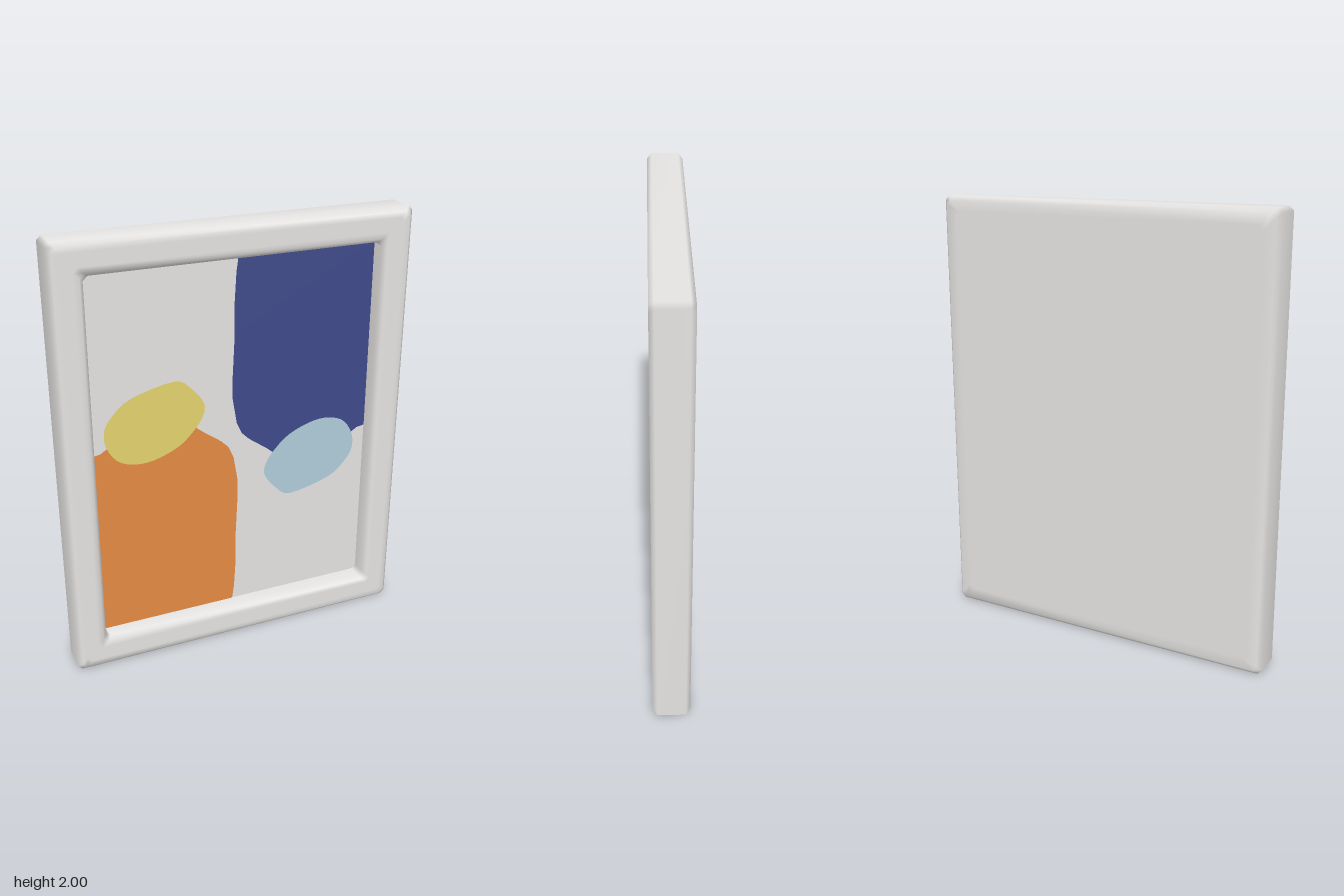
import * as THREE from 'three';

const MID_Y = 1.0; // height of the frame's centre
const PANEL_Z = 0; // depth of the recessed picture

// Corners of a rectangle with clipped corners, anticlockwise from the front
function clippedRect(w, h, c) {
  return [[w, -h + c], [w, h - c], [w - c, h], [-w + c, h],
    [-w, h - c], [-w, -h + c], [-w + c, -h], [w - c, -h]];
}

// Smooth-shaded skin through rectangular rings, closed by a cap at the back
function loftRings(rings) {
  const pos = [], index = [], n = 8;
  rings.forEach(([w, h, z]) => clippedRect(w, h, 0.02).forEach(([x, y]) => pos.push(x, y, z)));
  for (let i = 0; i < rings.length - 1; i++) {
    for (let j = 0; j < n; j++) {
      const a = i * n + j, b = i * n + (j + 1) % n;
      index.push(a, a + n, b + n, a, b + n, b);
    }
  }
  const last = (rings.length - 1) * n, centre = rings.length * n;
  pos.push(0, 0, rings[rings.length - 1][2]);
  for (let j = 0; j < n; j++) index.push(last + j, centre, last + (j + 1) % n);
  const g = new THREE.BufferGeometry();
  g.setAttribute('position', new THREE.Float32BufferAttribute(pos, 3));
  g.setIndex(index);
  g.computeVertexNormals();
  return g;
}

const toVectors = (pts) => pts.map(([x, y]) => new THREE.Vector2(x, y));

export function createModel() {
  const group = new THREE.Group();
  const material = (name, color) => {
    const m = new THREE.MeshStandardMaterial({ color });
    m.name = name;
    return m;
  };
  const grey = material('light grey', 0xe5e3e1);
  const blue = material('navy blue', 0x404b8a);
  const orange = material('orange', 0xe58b43);
  const yellow = material('yellow', 0xe5d36e);
  const paleBlue = material('pale blue', 0xb0cddb);

  const add = (name, geometry, mat, z, turned = false) => {
    const mesh = new THREE.Mesh(geometry, mat);
    mesh.name = name;
    mesh.position.set(0, MID_Y, z);
    if (turned) {
      mesh.rotation.z = Math.PI;
      mesh.position.x = 0.004;
      mesh.position.y -= 0.007;
    }
    group.add(mesh);
  };

  // Frame: inner wall, inner bevel, front, outer bevel, side, back bevel, back
  add('frame', loftRings([
    [0.668, 0.853, PANEL_Z - 0.01],
    [0.668, 0.853, 0.062],
    [0.685, 0.87, 0.0825],
    [0.71, 0.895, 0.0825],
    [0.765, 0.955, 0.0825],
    [0.79, 0.98, 0.0825],
    [0.81, 1.0, 0.0625],
    [0.81, 1.0, -0.0625],
    [0.79, 0.98, -0.0825],
    [0.74, 0.93, -0.0825],
  ]), grey, 0);

  // Recessed picture
  add('picturePanel', new THREE.PlaneGeometry(1.35, 1.72), grey, PANEL_Z);

  // Colour field, used upright and turned half round (heights from the centre)
  const field = new THREE.ShapeGeometry(new THREE.Shape(toVectors([
    [0.02, 0.86], [0.677, 0.86], [0.677, -0.045], [0.63, -0.053], [0.6, -0.072],
    [0.4, -0.15], [0.19, -0.1], [0.16, -0.075], [0.07, -0.01], [0.035, 0.025],
    [0.01, 0.08], [-0.01, 0.2], [-0.01, 0.3], [0, 0.5], [0, 0.65], [0.008, 0.78],
  ])));
  add('blueField', field, blue, PANEL_Z + 0.002);
  add('orangeField', field, orange, PANEL_Z + 0.002, true);

  // Rounded blob overlapping each field
  const outline = new THREE.SplineCurve(toVectors([
    [0.15, -0.165], [0.185, -0.105], [0.275, -0.022], [0.42, 0.027], [0.54, 0.005],
    [0.6, -0.072], [0.608, -0.155], [0.57, -0.22], [0.485, -0.287], [0.285, -0.335],
    [0.205, -0.285], [0.152, -0.215], [0.15, -0.165],
  ]));
  const blob = new THREE.ShapeGeometry(new THREE.Shape(outline.getPoints(48)));
  add('paleBlueBlob', blob, paleBlue, PANEL_Z + 0.004);
  add('yellowBlob', blob, yellow, PANEL_Z + 0.004, true);

  return group;
}
